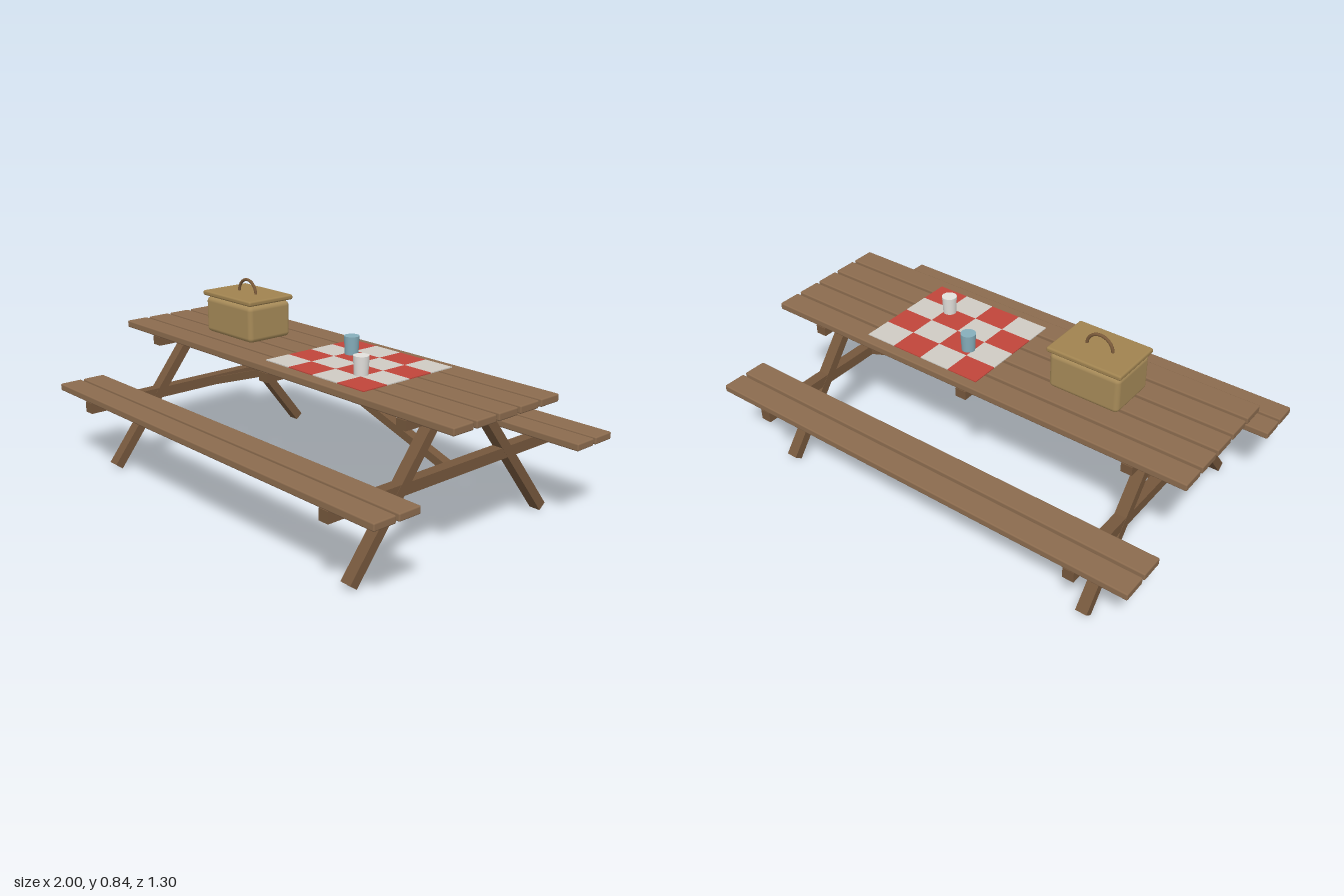
import * as THREE from 'three';
import { RoundedBoxGeometry } from 'three/addons/geometries/RoundedBoxGeometry.js';

const paint = (color) => new THREE.MeshStandardMaterial({ color });

export function createModel() {
  const model = new THREE.Group();
  const plankWood = paint(0x8b6b4e), frameWood = paint(0x75573c);
  const wicker = paint(0xa68a58), lidWicker = paint(0xa08350), handleWood = paint(0x7a5a3a);
  const red = paint(0xc0453a), white = paint(0xcfcbc4), blue = paint(0x86aebb), cupWhite = paint(0xe2e0dc);

  const add = (name, geometry, material, x, y, z, parent = model) => {
    const mesh = new THREE.Mesh(geometry, material);
    mesh.name = name;
    mesh.position.set(x, y, z);
    parent.add(mesh);
    return mesh;
  };

  // straight timber between two points; w is its size along the given side axis, t the other
  const beam = (name, from, to, w, t, side) => {
    const a = new THREE.Vector3(...from), b = new THREE.Vector3(...to);
    const dir = b.clone().sub(a);
    const length = dir.length();
    dir.normalize();
    const sideAxis = new THREE.Vector3(...side);
    const third = new THREE.Vector3().crossVectors(sideAxis, dir);
    const mid = a.add(b).multiplyScalar(0.5);
    const mesh = add(name, new THREE.BoxGeometry(w, length, t), frameWood, mid.x, mid.y, mid.z);
    mesh.quaternion.setFromRotationMatrix(new THREE.Matrix4().makeBasis(sideAxis, dir, third));
  };

  // table top and bench planks
  const plank = (w) => new RoundedBoxGeometry(2, 0.031, w, 2, 0.006);
  const tablePlank = plank(0.103), benchPlank = plank(0.102);
  for (let i = -2; i <= 2; i++) add('tablePlank', tablePlank, plankWood, 0, 0.581, i * 0.117);
  for (const s of [-1, 1]) {
    for (const z of [0.482, 0.597]) add('benchPlank', benchPlank, plankWood, 0, 0.349, s * z);
  }

  // cross beams, splayed legs and diagonal braces
  add('centreCleat', new THREE.BoxGeometry(0.05, 0.038, 0.574), frameWood, 0, 0.547, 0);
  for (const s of [-1, 1]) {
    const x = s * 0.76;
    add('topBeam', new THREE.BoxGeometry(0.048, 0.038, 0.574), frameWood, x, 0.547, 0);
    add('benchBeam', new THREE.BoxGeometry(0.048, 0.046, 1.294), frameWood, x, 0.31, 0);
    for (const f of [-1, 1]) {
      beam('leg', [x, 0.0125, f * 0.528], [x, 0.545, f * 0.108], 0.05, 0.04, [1, 0, 0]);
    }
    beam('brace', [s * 0.74, 0.305, 0], [s * 0.035, 0.54, 0], 0.04, 0.033, [0, 0, 1]);
  }

  // picnic basket
  const basket = new THREE.Group();
  basket.name = 'basket';
  basket.position.set(-0.44, 0.597, 0.016);
  model.add(basket);
  add('basketBody', new RoundedBoxGeometry(0.314, 0.157, 0.222, 4, 0.02), wicker, 0, 0.0785, 0, basket);
  add('basketNeck', new THREE.BoxGeometry(0.27, 0.012, 0.18), wicker, 0, 0.159, 0, basket);
  add('basketLid', new RoundedBoxGeometry(0.332, 0.022, 0.238, 3, 0.008), lidWicker, 0, 0.173, 0, basket);
  add('basketHandle', new THREE.TorusGeometry(0.058, 0.0065, 10, 28, Math.PI), handleWood, 0, 0.181, 0, basket);

  // checked cloth
  const cloth = new THREE.Group();
  cloth.name = 'cloth';
  model.add(cloth);
  const square = new THREE.BoxGeometry(0.141, 0.004, 0.12);
  for (let row = 0; row < 4; row++) {
    for (let col = 0; col < 4; col++) {
      add('clothSquare', square, (row + col) % 2 ? white : red,
        0.238 + (col - 1.5) * 0.141, 0.599, -0.004 + (row - 1.5) * 0.12, cloth);
    }
  }

  // cups
  const cup = new THREE.CylinderGeometry(0.032, 0.028, 0.077, 16);
  add('blueCup', cup, blue, 0.119, 0.639, -0.082);
  add('whiteCup', cup, cupWhite, 0.36, 0.639, 0.095);

  return model;
}
